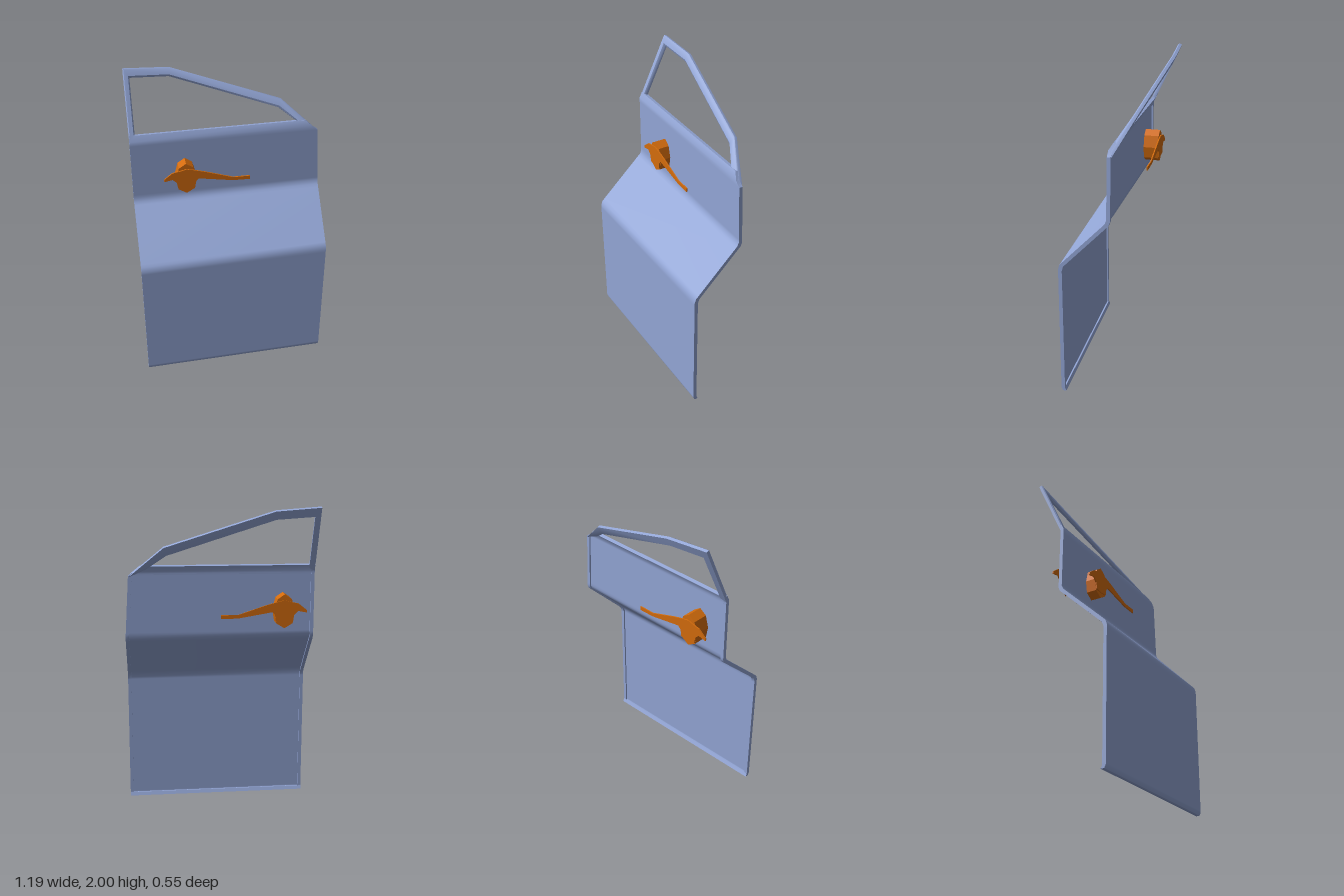
import * as THREE from 'three';
import { toCreasedNormals } from 'three/addons/utils/BufferGeometryUtils.js';

// Side profile of the outer skin: [height, depth]
const PROFILE = [[0, 0.243], [0.02, 0.2525], [0.87, 0.2525], [1.18, -0.06], [1.6, -0.06], [1.77, -0.145], [2, -0.245]];

function interpolate(table, v) {
  let i = 0;
  while (i < table.length - 2 && v > table[i + 1][0]) i++;
  const [a, b] = [table[i], table[i + 1]];
  return a[1] + (b[1] - a[1]) * (v - a[0]) / (b[0] - a[0]);
}

// Depth of the outer skin, with a slight skew and a bow in the window area
function skinZ(x, y) {
  const skew = interpolate([[0.87, -0.029], [1.18, -0.008]], Math.min(Math.max(y, 0.87), 1.18));
  const bow = 0.03 * (1 - (x / 0.6) ** 2) * Math.min(1, Math.max(0, (y - 1.6) / 0.1));
  return interpolate(PROFILE, y) + skew * x - bow;
}

// Point set back from the skin by a depth; lean tilts that depth downwards
const skinPoint = (x, y, depth, lean) => [x, y - lean * depth, skinZ(x, y) - depth];

// Joins closed rings of points into a capped solid
function loft(rings) {
  const n = rings[0].length, index = [];
  for (let i = 0; i < rings.length - 1; i++) {
    for (let j = 0; j < n; j++) {
      const k = (j + 1) % n;
      const a = i * n + j, b = i * n + k, c = b + n, d = a + n;
      index.push(a, b, c, a, c, d);
    }
  }
  const end = (rings.length - 1) * n;
  for (let j = 1; j < n - 1; j++) {
    index.push(0, j + 1, j, end, end + j, end + j + 1);
  }
  const geo = new THREE.BufferGeometry();
  geo.setAttribute('position', new THREE.Float32BufferAttribute(rings.flat(2), 3));
  geo.setIndex(index);
  return toCreasedNormals(geo, 0.7);
}

const LEFT = -0.597;
const rightEdge = (y) => interpolate([[0, 0.597], [1.19, 0.594], [1.57, 0.57], [1.635, 0.495]], y);
const leanAt = (y) => (y > 0.84 && y < 1.23 ? 0.41 : y > 1.58 ? 0.24 : 0);

// Folded slab that follows the skin between two edges and two depths
function slab(rows, x0, x1, d0, d1) {
  return loft(rows.map((y) => {
    const l = leanAt(y), a = x0(y), b = x1(y);
    return [skinPoint(a, y, d0, l), skinPoint(b, y, d0, l), skinPoint(b, y, d1, l), skinPoint(a, y, d1, l)];
  }));
}

export function createModel() {
  const group = new THREE.Group();
  const blue = new THREE.MeshStandardMaterial({ color: 0x93a6d6 });
  blue.name = 'door blue';
  const orange = new THREE.MeshStandardMaterial({ color: 0xd46c0c });
  orange.name = 'handle orange';

  const add = (parent, name, geometry, material) => {
    const mesh = new THREE.Mesh(geometry, material);
    mesh.name = name;
    parent.add(mesh);
    return mesh;
  };

  // Door skin with rounded creases
  const rows = [0, 0.02, 0.03, 0.83, 0.85, 0.88, 0.895, 1.155, 1.17, 1.195, 1.215, 1.57, 1.6, 1.635];
  const left = () => LEFT;
  add(group, 'doorPanel', slab(rows, left, rightEdge, 0, 0.013), blue);

  // Raised lip around the inner side
  const lip = 0.022;
  add(group, 'rearLip', slab(rows, left, () => LEFT + lip, 0.012, 0.023), blue);
  add(group, 'frontLip', slab(rows, (y) => rightEdge(y) - lip, rightEdge, 0.012, 0.023), blue);
  add(group, 'bottomLip', slab([0, 0.022], left, rightEdge, 0.012, 0.023), blue);
  add(group, 'beltLip', slab([1.585, 1.6, 1.635], left, rightEdge, 0.012, 0.023), blue);

  // Window frame: outer and inner corner at each station
  const stations = [
    [LEFT, 1.6, -0.56, 1.62],
    [LEFT, 2.0, -0.56, 1.945],
    [-0.32, 1.98, -0.325, 1.93],
    [0.35, 1.76, 0.335, 1.71],
    [0.57, 1.57, 0.46, 1.62],
  ];
  const frameRings = stations.map(([ox, oy, ix, iy]) => {
    const at = (t, depth) => skinPoint(ox + (ix - ox) * t, oy + (iy - oy) * t, depth, 0.45);
    return [at(0, 0.006), at(0.15, 0), at(0.8, 0), at(1, 0.01), at(1, 0.022), at(0, 0.022)];
  });
  add(group, 'windowFrame', loft(frameRings), blue);

  // Handle: faceted hub and a thin lever plate
  const shapeOf = (pts) => new THREE.Shape(pts.map(([x, y]) => new THREE.Vector2(x, y)));
  const hubShape = shapeOf([
    [0, -0.107], [0.052, -0.075], [0.065, 0], [0.045, 0.076],
    [0, 0.107], [-0.045, 0.076], [-0.065, 0], [-0.052, -0.075],
  ]);
  const leverShape = shapeOf([
    [-0.138, -0.008], [-0.086, 0.003], [-0.059, -0.024], [-0.053, -0.066], [0, -0.073],
    [0.052, -0.066], [0.057, -0.024], [0.077, -0.003], [0.291, -0.04], [0.397, -0.042],
    [0.397, -0.018], [0.291, -0.018], [0.117, 0.04], [0.042, 0.061], [0, 0.07],
    [-0.033, 0.061], [-0.086, 0.05], [-0.138, 0.008],
  ]);
  const extrude = (shape, depth, z) =>
    new THREE.ExtrudeGeometry(shape, { depth, bevelEnabled: false }).translate(0, 0, z);

  // Outer and inner handles share one shape
  for (const [name, x, hubZ, leverZ] of [
    ['outerHandle', -0.267, -0.064, 0.011],
    ['innerHandle', -0.397, -0.167, -0.174],
  ]) {
    const handle = new THREE.Group();
    handle.name = name;
    handle.position.set(x, 1.35, 0);
    add(handle, 'handleHub', extrude(hubShape, name === 'outerHandle' ? 0.076 : 0.1, hubZ), orange);
    add(handle, 'handleLever', extrude(leverShape, 0.008, leverZ), orange);
    group.add(handle);
  }
  return group;
}
